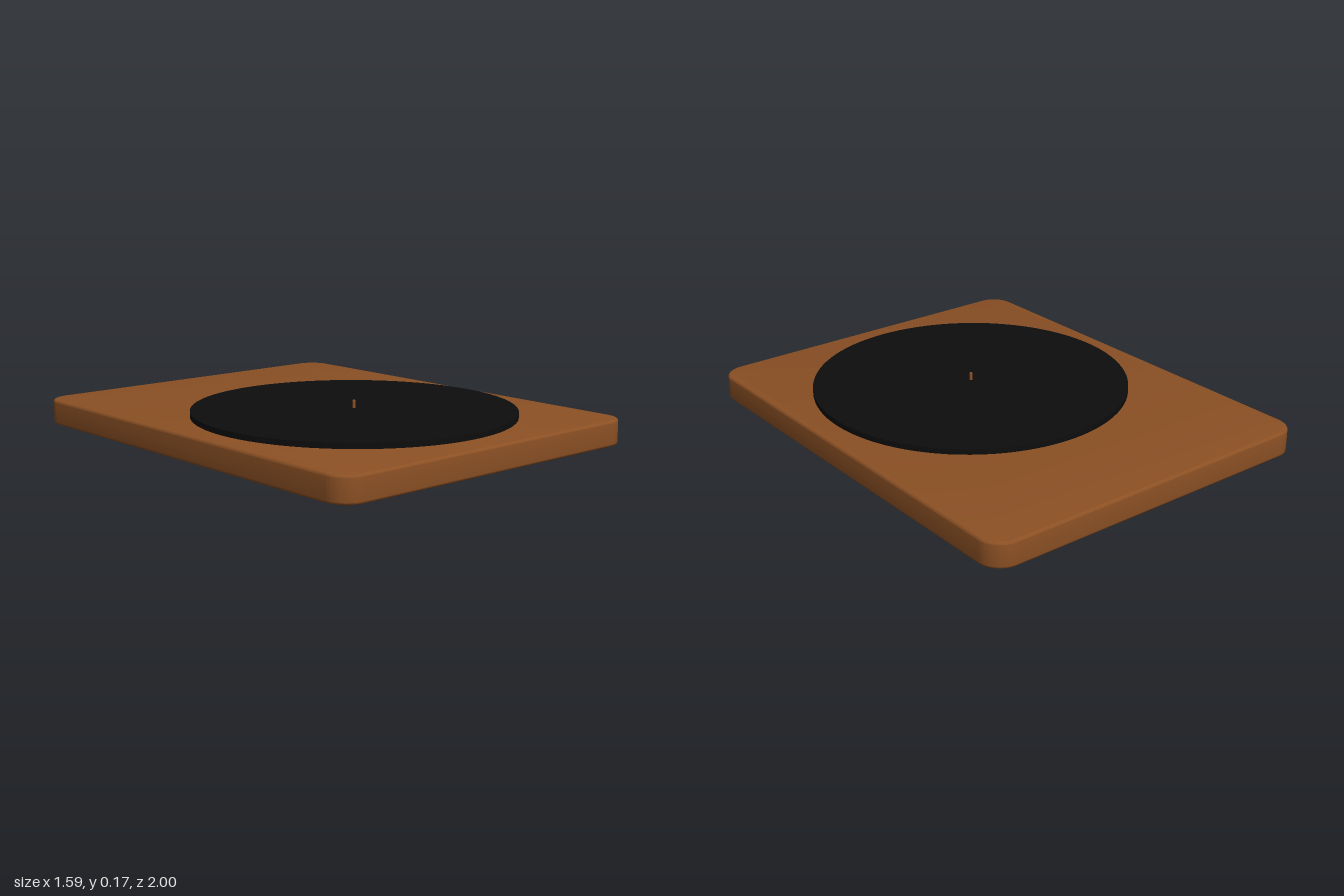
import * as THREE from 'three';
import { toCreasedNormals } from 'three/addons/utils/BufferGeometryUtils.js';

const WIDTH = 1.59, LENGTH = 2, HEIGHT = 0.11, CORNER = 0.1, BEVEL = 0.012;
const PLATTER_Z = 0.18;

// Rounded rectangle centred on the origin
function roundedRect(w, h, r) {
  const x = w / 2, y = h / 2, s = new THREE.Shape();
  s.absarc(x - r, y - r, r, 0, Math.PI / 2);
  s.absarc(-x + r, y - r, r, Math.PI / 2, Math.PI);
  s.absarc(-x + r, -y + r, r, Math.PI, Math.PI * 1.5);
  s.absarc(x - r, -y + r, r, Math.PI * 1.5, Math.PI * 2);
  s.closePath();
  return s;
}

export function createModel() {
  const wood = new THREE.MeshStandardMaterial({ name: 'brown wood', color: 0x8b5024 });
  const black = new THREE.MeshStandardMaterial({ name: 'black', color: 0x0d0d0d });
  const model = new THREE.Group();
  model.name = 'turntable';

  const add = (name, geometry, material, y = 0, z = 0) => {
    const mesh = new THREE.Mesh(geometry, material);
    mesh.name = name;
    mesh.position.set(0, y, z);
    model.add(mesh);
  };

  // Plinth: rounded slab with softened edges
  const slab = new THREE.ExtrudeGeometry(
    roundedRect(WIDTH - 2 * BEVEL, LENGTH - 2 * BEVEL, CORNER - BEVEL),
    { depth: HEIGHT - 2 * BEVEL, bevelThickness: BEVEL, bevelSize: BEVEL, bevelSegments: 5, curveSegments: 12 }
  );
  slab.rotateX(-Math.PI / 2);
  slab.translate(0, BEVEL, 0);
  add('plinth', toCreasedNormals(slab, 0.6), wood);

  // Platter
  add('platter', new THREE.CylinderGeometry(0.69, 0.69, 0.024, 96), black, HEIGHT + 0.012, PLATTER_Z);

  // Spindle with a domed tip
  const profile = [[0.007, 0], [0.007, 0.031], [0.005, 0.036], [0, 0.038]].map(p => new THREE.Vector2(...p));
  add('spindle', new THREE.LatheGeometry(profile, 16), wood, HEIGHT + 0.022, PLATTER_Z);

  return model;
}
